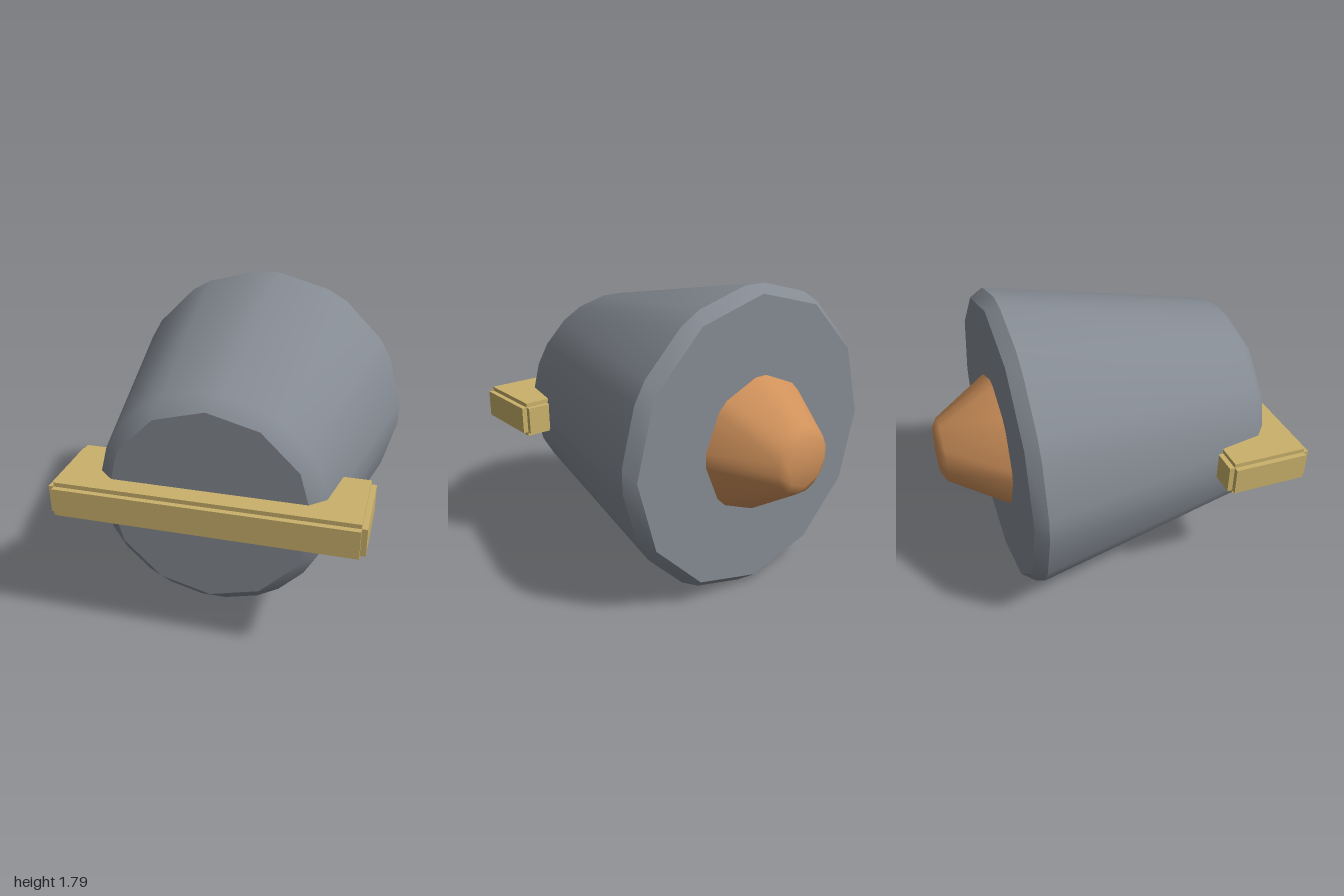
import * as THREE from 'three';
import { toCreasedNormals } from 'three/addons/utils/BufferGeometryUtils.js';

const CENTRE_Y = 0.897;

// Frustum along z with chamfered corners and rims.
// rings: [z, radius] for back cap, back rim, front rim, front cap.
function chamferedFrustum(sides, w, rings) {
  const [back, backRim, frontRim, front] = rings;
  const at = (i, [z, r], offset) => {
    const a = (i / sides) * Math.PI * 2;
    const c = Math.cos(a), s = Math.sin(a);
    return [r * c - offset * s, r * s + offset * c, z];
  };
  const pos = [];
  const tri = (a, b, c) => pos.push(...a, ...b, ...c);
  const quad = (a, b, c, d) => { tri(a, b, c); tri(a, c, d); };
  for (let i = 0; i < sides; i++) {
    const j = i + 1;
    const b0 = at(i, back, 0), b1 = at(j, back, 0);
    const f0 = at(i, front, 0), f1 = at(j, front, 0);
    const rb = [at(i, backRim, -w), at(i, backRim, w), at(j, backRim, -w)];
    const rf = [at(i, frontRim, -w), at(i, frontRim, w), at(j, frontRim, -w)];
    // caps
    tri([0, 0, back[0]], b1, b0);
    tri([0, 0, front[0]], f0, f1);
    // corner strip and flat side
    quad(rb[0], rb[1], rf[1], rf[0]);
    quad(rb[1], rb[2], rf[2], rf[1]);
    // rim chamfers
    tri(b0, rb[1], rb[0]);
    quad(b0, b1, rb[2], rb[1]);
    tri(rf[0], rf[1], f0);
    quad(rf[1], rf[2], f1, f0);
  }
  const geo = new THREE.BufferGeometry();
  geo.setAttribute('position', new THREE.Float32BufferAttribute(pos, 3));
  geo.computeVertexNormals();
  return toCreasedNormals(geo, THREE.MathUtils.degToRad(40));
}

export function createModel() {
  const material = (name, color) => {
    const m = new THREE.MeshStandardMaterial({ color });
    m.name = name;
    return m;
  };
  const grey = material('steel grey', 0x848a92);
  const copper = material('copper', 0xcf915b);
  const gold = material('pale gold', 0xcab26b);

  const model = new THREE.Group();
  model.name = 'model';
  const add = (parent, name, geo, mat, x, y, z) => {
    const mesh = new THREE.Mesh(geo, mat);
    mesh.name = name;
    mesh.position.set(x, y, z);
    parent.add(mesh);
  };

  // Tapered main body, wide at the back
  add(model, 'body', chamferedFrustum(12, 0.07,
    [[-0.64, 0.855], [-0.57, 0.897], [0.785, 0.637], [0.86, 0.57]]), grey, 0, CENTRE_Y, 0);

  // Blunt cone on the back face
  add(model, 'rearCone', chamferedFrustum(8, 0.04,
    [[-1, 0.142], [-0.97, 0.187], [-0.61, 0.417], [-0.6, 0.41]]), copper, 0, CENTRE_Y, 0);

  // Crossbar with square-notched edges: one slab per axis
  const bar = new THREE.Group();
  bar.name = 'crossbar';
  bar.position.set(0, 0.9, 0.75);
  const slabs = {
    barLength: [1.715, 0.16, 0.44],
    barHeight: [1.655, 0.21, 0.44],
    barDepth: [1.655, 0.16, 0.5],
  };
  for (const [name, size] of Object.entries(slabs)) {
    add(bar, name, new THREE.BoxGeometry(...size), gold, 0, 0, 0);
  }
  model.add(bar);
  return model;
}
